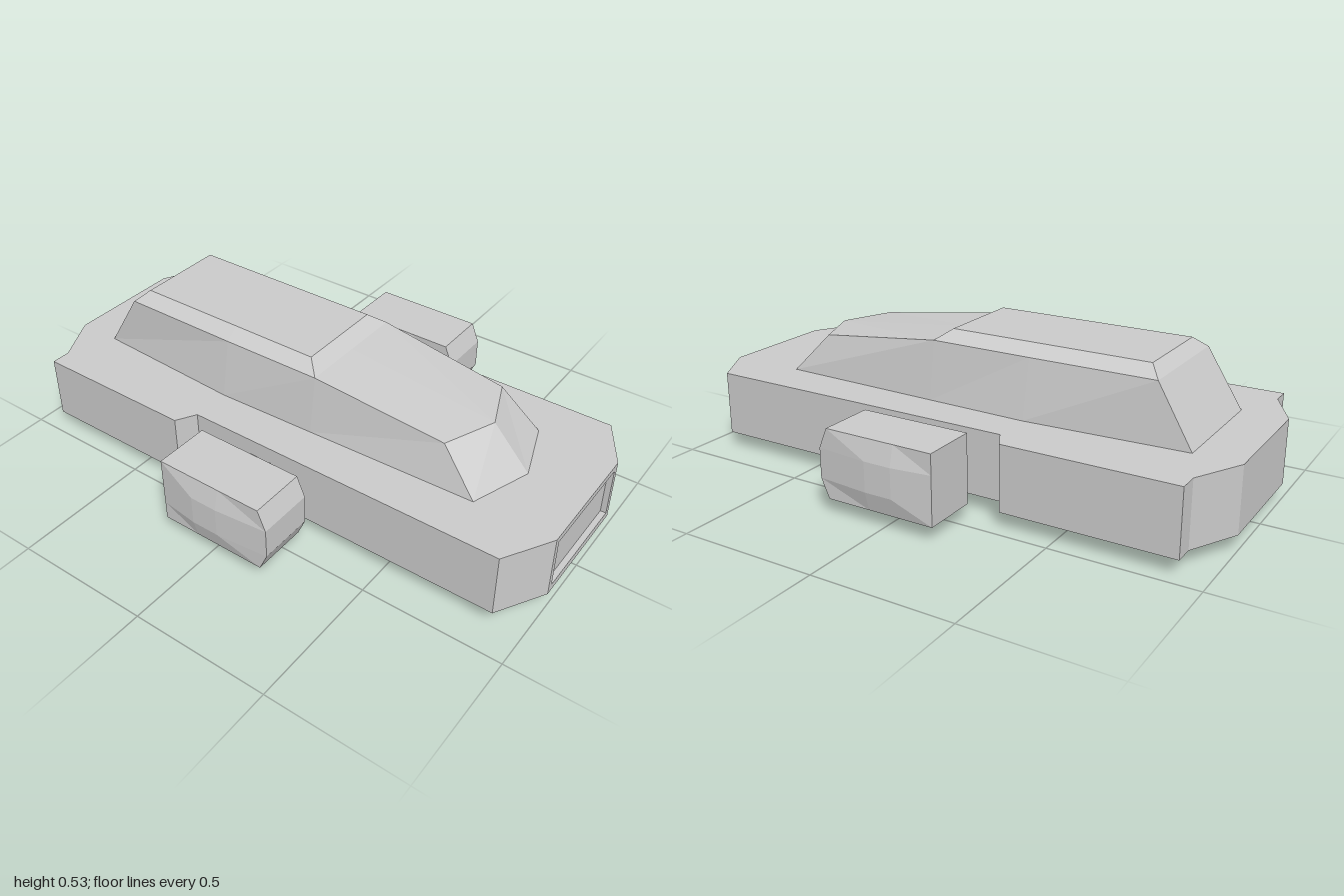
import * as THREE from 'three';

const material = new THREE.MeshStandardMaterial({ color: 0xcccccc, flatShading: true });

// Skins a list of matching loops; loops run counter-clockwise seen from the last loop's side.
function loft(loops, { closed = true, capStart = false, capEnd = false } = {}) {
  const pos = [];
  const tri = (...pts) => pts.forEach((p) => pos.push(...p));
  const n = loops[0].length;
  for (let r = 0; r < loops.length - 1; r++) {
    const a = loops[r], b = loops[r + 1];
    for (let i = 0; i < (closed ? n : n - 1); i++) {
      const j = (i + 1) % n;
      tri(a[i], a[j], b[j]);
      tri(a[i], b[j], b[i]);
    }
  }
  const first = loops[0], last = loops[loops.length - 1];
  for (let i = 1; i < n - 1; i++) {
    if (capStart) tri(first[0], first[i + 1], first[i]);
    if (capEnd) tri(last[0], last[i], last[i + 1]);
  }
  const g = new THREE.BufferGeometry();
  g.setAttribute('position', new THREE.Float32BufferAttribute(pos, 3));
  g.computeVertexNormals();
  return g;
}

// Completes a half outline (+x side, front to back) with its mirror image.
const mirror = (half) => [
  ...half,
  ...half.filter((p) => p[0] !== 0).reverse().map(([x, y, z]) => [-x, y, z]),
];

// Rectangle facing +z.
const frontRect = (w, y0, y1, z) => [[-w, y0, z], [w, y0, z], [w, y1, z], [-w, y1, z]];

export function createModel() {
  const model = new THREE.Group();
  const add = (name, geometry, parent = model) => {
    const mesh = new THREE.Mesh(geometry, material);
    mesh.name = name;
    parent.add(mesh);
    return mesh;
  };

  // Hull: straight sides, open at the nose where the recessed panel goes
  const outline = (y) => mirror([[0.22, y, 1], [0.39, y, 0.9], [0.39, y, -0.91], [0.22, y, -1]]);
  const keel = mirror([[0.22, 0, 0.79], [0.22, 0, 0.79], [0.22, 0, -0.7], [0.22, 0, -0.7]]);
  add('hullSides', loft([outline(0.055), outline(0.285)], { closed: false, capEnd: true }));
  add('belly', loft([keel, outline(0.055)], { capStart: true }));
  add('nosePanel', loft([
    frontRect(0.22, 0.055, 0.285, 1),
    frontRect(0.2, 0.08, 0.262, 1),
    frontRect(0.2, 0.08, 0.262, 0.98),
  ], { capEnd: true }));

  // Cabin: sloped walls, pointed hood, raised roof
  const cabinBase = mirror([
    [0, 0.285, 0.79], [0.22, 0.285, 0.715], [0.239, 0.285, 0.1], [0.25, 0.285, -0.27], [0.22, 0.285, -0.84],
  ]);
  const shoulder = mirror([
    [0, 0.43, 0.655], [0.185, 0.43, 0.58], [0.21, 0.49, 0.1], [0.212, 0.49, -0.27], [0.21, 0.49, -0.715],
  ]);
  add('cabinWalls', loft([cabinBase, shoulder]));
  add('hood', loft([
    [[0.21, 0.49, 0.1], [0, 0.49, 0.1], [-0.21, 0.49, 0.1]],
    [[0.185, 0.43, 0.58], [0, 0.43, 0.655], [-0.185, 0.43, 0.58]],
  ], { closed: false }));
  add('roof', loft([
    mirror([[0.21, 0.49, 0.1], [0.212, 0.49, -0.27], [0.21, 0.49, -0.715]]),
    mirror([[0.163, 0.527, 0.05], [0.163, 0.527, -0.27], [0.163, 0.527, -0.675]]),
  ], { capEnd: true }));

  // Pod cross-section: bulging flanks, with top and bottom edges set at zEdge
  const podLoop = (bulge, z, zEdge = z) => {
    const w = 0.1, b = 0.1 + bulge;
    return [
      [-w, 0.053, zEdge], [w, 0.053, zEdge], [b, 0.12, z], [b, 0.225, z],
      [w, 0.296, zEdge], [-w, 0.296, zEdge], [-b, 0.225, z], [-b, 0.12, z],
    ];
  };
  const podGeometry = loft([
    podLoop(0, -0.19), podLoop(0.018, -0.05), podLoop(0.018, 0.05), podLoop(0, 0.24, 0.21),
  ], { capStart: true });
  // Front face of the pod: chamfered above and below a flat centre
  const podFront = loft([
    [[-0.1, 0.053, 0.21], [0.1, 0.053, 0.21]],
    [[-0.1, 0.12, 0.24], [0.1, 0.12, 0.24]],
    [[-0.1, 0.225, 0.24], [0.1, 0.225, 0.24]],
    [[-0.1, 0.296, 0.21], [0.1, 0.296, 0.21]],
  ], { closed: false });

  for (const [side, s] of [['left', 1], ['right', -1]]) {
    // Rear side widening of the hull
    const shape = new THREE.Shape(
      [[0.38, 0.265], [0.39, 0.27], [0.46, 0.31], [0.46, 0.91], [0.38, 0.91]]
        .map(([x, y]) => new THREE.Vector2(s * x, y)));
    const wing = new THREE.ExtrudeGeometry(shape, { depth: 0.23, bevelEnabled: false });
    wing.rotateX(-Math.PI / 2).translate(0, 0.055, 0);
    add(side + 'RearFlank', wing);

    // Side pod on its strut
    const pod = new THREE.Group();
    pod.name = side + 'Pod';
    pod.position.x = s * 0.555;
    add('podBody', podGeometry, pod);
    add('podFront', podFront, pod);
    model.add(pod);
    add(side + 'Strut', new THREE.BoxGeometry(0.08, 0.105, 0.1)).position.set(s * 0.415, 0.1725, 0);
  }
  return model;
}
